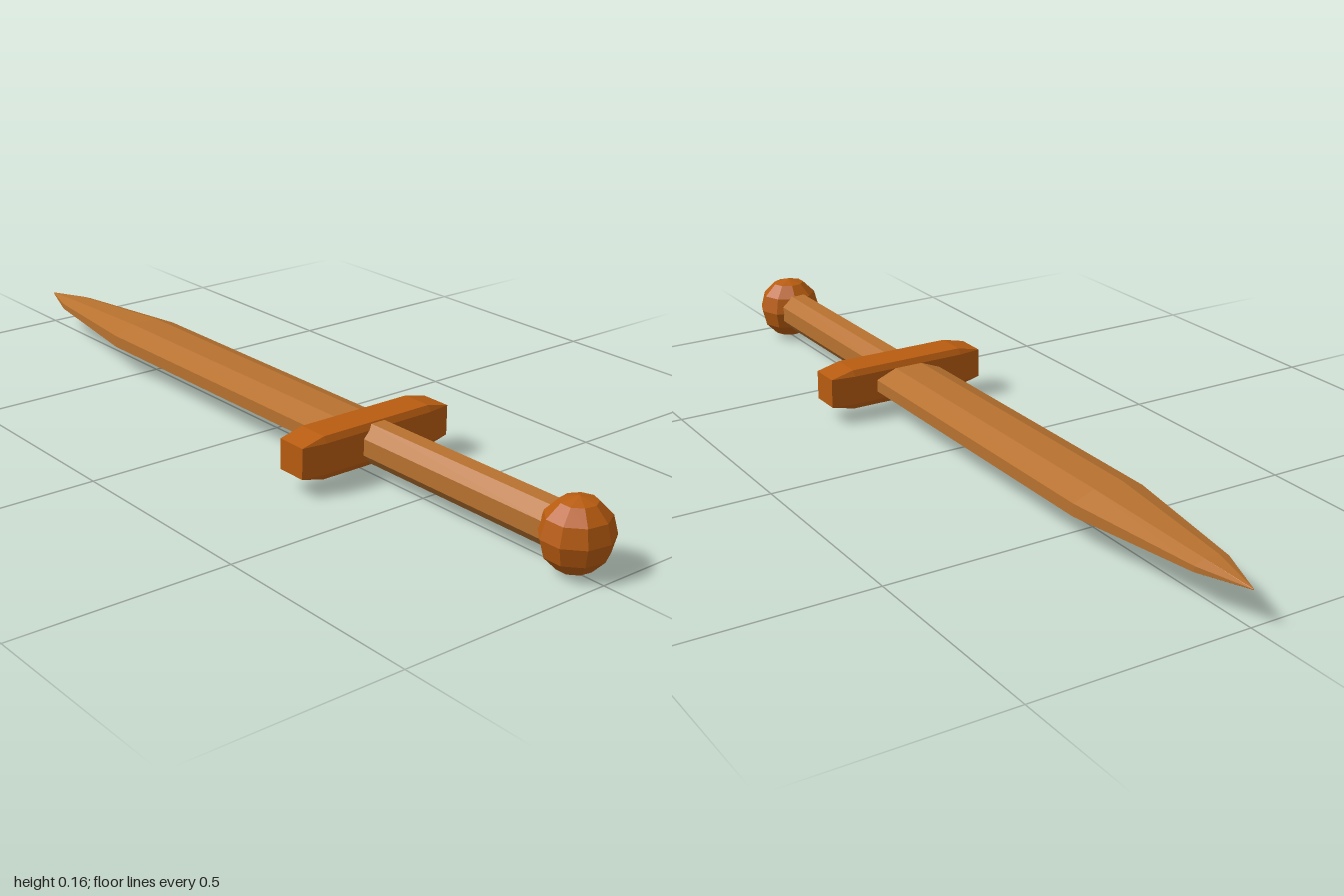
import * as THREE from 'three';

const AXIS_Y = 0.082;

// Eight corners of a rectangle with cut corners: half sizes w, h; flats cw, ch.
const octagon = (w, h, cw, ch) => [
  [w, -ch], [w, ch], [cw, h], [-cw, h], [-w, ch], [-w, -ch], [-cw, -h], [cw, -h],
];

// Skin octagons placed along +z and close both ends. Stations: [z, w, h, cw, ch]
function loft(stations) {
  const pos = [], index = [], n = 8, last = stations.length - 1;
  stations.forEach(([z, ...s]) => octagon(...s).forEach(([x, y]) => pos.push(x, y, z)));
  for (let k = 0; k < last; k++) {
    for (let i = 0; i < n; i++) {
      const a = k * n + i, b = k * n + (i + 1) % n;
      index.push(a, b, b + n, a, b + n, a + n);
    }
  }
  for (let i = 1; i < n - 1; i++) {
    index.push(0, i + 1, i);
    index.push(last * n, last * n + i, last * n + i + 1);
  }
  const geo = new THREE.BufferGeometry();
  geo.setAttribute('position', new THREE.Float32BufferAttribute(pos, 3));
  geo.setIndex(index);
  const flat = geo.toNonIndexed();
  flat.computeVertexNormals();
  return flat;
}

export function createModel() {
  const group = new THREE.Group();
  const wood = new THREE.MeshStandardMaterial({ color: 0xb8722f, flatShading: true });
  const darkWood = new THREE.MeshStandardMaterial({ color: 0xb85c10, flatShading: true });

  const add = (name, geo, material, x = 0) => {
    const mesh = new THREE.Mesh(geo, material);
    mesh.name = name;
    mesh.position.set(x, AXIS_Y, 0);
    group.add(mesh);
  };

  // Blade: flattened octagon narrowing in two steps to the tip
  const bladeSection = (x, w, h) => [x, w, h, w * 0.414, h * 0.414];
  add('blade', loft([
    bladeSection(-1, 0.001, 0.001),
    bladeSection(-0.88, 0.042, 0.016),
    bladeSection(-0.55, 0.087, 0.035),
    bladeSection(0.31, 0.087, 0.035),
  ]).rotateY(Math.PI / 2), wood);

  // Grip: regular octagonal rod
  const r = 0.046;
  add('grip', loft([0.31, 0.89].map((x) => [x, r * 0.95, r, r * 0.4, r * 0.414]))
    .rotateY(Math.PI / 2), wood);

  // Crossguard: bevelled bar, tapered at both ends
  const end = [0.037, 0.035, 0.037, 0.035];
  const middle = [0.045, 0.049, 0.037, 0.035];
  add('crossguard', loft([
    [-0.205, ...end], [-0.147, ...middle], [0.147, ...middle], [0.205, ...end],
  ]), darkWood, 0.313);

  // Pommel: faceted ball
  add('pommel', new THREE.SphereGeometry(0.08, 9, 6).rotateY(-Math.PI / 2).scale(0.93, 1, 1),
    darkWood, 0.926);

  return group;
}
